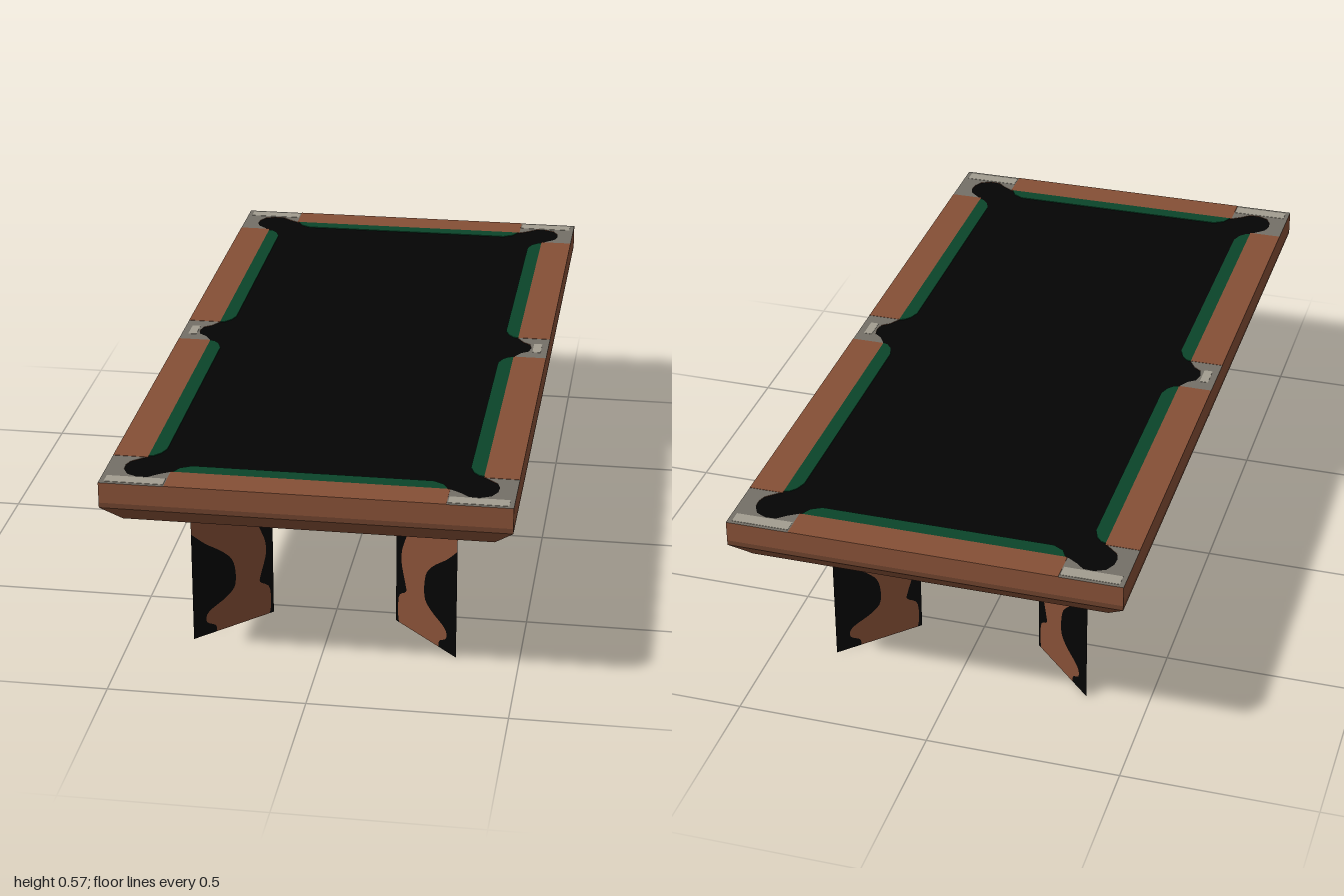
import * as THREE from 'three';

const paint = (name, color, side = THREE.FrontSide) => {
  const m = new THREE.MeshStandardMaterial({ color, side });
  m.name = name;
  return m;
};
const vec = (pts) => pts.map(([x, y]) => new THREE.Vector2(x, y));

export function createModel() {
  const wood = paint('wood brown', 0x854f36, THREE.DoubleSide);
  const darkWood = paint('dark wood', 0x6c412c);
  const black = paint('black', 0x040404, THREE.DoubleSide);
  const green = paint('cushion green', 0x0b452a);
  const metal = paint('metal grey', 0x747067);
  const lightMetal = paint('light metal', 0xa29d90);
  const under = paint('underside teal', 0x04282b);

  const table = new THREE.Group();
  table.name = 'poolTable';
  const add = (name, geometry, material) => {
    const mesh = new THREE.Mesh(geometry, material);
    mesh.name = name;
    table.add(mesh);
  };
  // Horizontal slab from an (x, z) outline, hanging down from its top height
  const slab = (name, shape, top, depth, material) => {
    const g = new THREE.ExtrudeGeometry(shape, { depth, bevelEnabled: false });
    g.rotateX(Math.PI / 2).translate(0, top, 0);
    add(name, g, material);
  };
  const rect = (x0, z0, x1, z1) => new THREE.Shape(vec([[x0, z0], [x1, z0], [x1, z1], [x0, z1]]));
  const signs = [-1, 1];

  // Body: straight apron carrying the bed, with a darker lip along its lower edge
  const apron = new THREE.BoxGeometry(1, 0.052, 2).translate(0, 0.539, 0);
  add('apron', apron, [wood, wood, black, wood, wood, wood]);
  const lip = new THREE.BoxGeometry(1, 0.013, 2).translate(0, 0.5065, 0);
  add('apronLip', lip, [darkWood, darkWood, darkWood, under, darkWood, darkWood]);

  // Tapered skirt, open underneath so the underside sits recessed
  const skirt = new THREE.BoxGeometry(1, 0.047, 2).translate(0, 0.4765, 0);
  const sp = skirt.attributes.position;
  for (let i = 0; i < sp.count; i++) {
    if (sp.getY(i) < 0.47) sp.setXYZ(i, sp.getX(i) * 0.906, sp.getY(i), sp.getZ(i) * 0.955);
  }
  skirt.setIndex([...skirt.index.array].filter((_, i) => i < 12 || i >= 24));
  skirt.clearGroups();
  skirt.computeVertexNormals();
  add('skirt', skirt, wood);

  // Rail frame with an opening that bulges into six pockets
  const quarter = [
    [0.455, 0], [0.45, 0.025], [0.43, 0.04], [0.413, 0.068], [0.413, 0.835], [0.43, 0.85],
    [0.45, 0.868], [0.457, 0.89], [0.455, 0.915], [0.442, 0.94], [0.415, 0.953],
    [0.388, 0.951], [0.368, 0.933], [0.34, 0.915],
  ];
  const flip = (pts, sx, sz) => pts.map(([x, z]) => [x * sx, z * sz]);
  const opening = [
    ...quarter, ...flip(quarter, -1, 1).reverse(),
    ...flip(quarter, -1, -1).slice(1), ...flip(quarter, 1, -1).reverse().slice(0, -1),
  ];
  const frame = rect(-0.5, -1, 0.5, 1);
  frame.holes.push(new THREE.Path(vec(opening)));
  slab('railFrame', frame, 0.5662, 0.0012, [metal, wood]);

  // Wooden rail tops, cushions and metal highlights
  const sideCushion = [[0.413, 0.068], [0.413, 0.832], [0.4, 0.828], [0.386, 0.812], [0.376, 0.785],
    [0.376, 0.115], [0.386, 0.088], [0.4, 0.072]];
  const endCushion = [[-0.335, 0.915], [-0.322, 0.89], [-0.295, 0.875],
    [0.295, 0.875], [0.322, 0.89], [0.335, 0.915]];
  for (const s of signs) {
    slab('endRail', rect(-0.34, 0.915 * s, 0.34, s), 0.567, 0.0008, wood);
    slab('endCushion', new THREE.Shape(vec(flip(endCushion, 1, s))), 0.567, 0.002, green);
    slab('sidePocketHighlight', rect(0.46 * s, -0.03, 0.482 * s, 0.03), 0.567, 0.0008, lightMetal);
    for (const t of signs) {
      slab('sideRail', rect(0.413 * s, 0.068 * t, 0.5 * s, 0.84 * t), 0.567, 0.0008, wood);
      slab('sideCushion', new THREE.Shape(vec(flip(sideCushion, s, t))), 0.567, 0.002, green);
      slab('cornerHighlight', rect(0.343 * s, 0.956 * t, 0.488 * s, 0.99 * t), 0.567, 0.0008, lightMetal);
    }
  }

  // Legs: flat diagonal panels, a turned profile in wood flanked by black
  const IN = 0.162, OUT = 0.339, TOP = 0.5;
  const curve = (pts) => new THREE.SplineCurve(vec(pts)).getPoints(36)
    .map((p) => [THREE.MathUtils.clamp(p.x, IN, OUT), Math.max(p.y, 0)]);
  const outer = curve([[OUT, 0.3], [0.31, 0.262], [0.27, 0.22], [0.249, 0.182], [0.246, 0.12],
    [0.265, 0.091], [0.305, 0.064], [0.31, 0.037], [0.291, 0.019], [0.289, 0]]);
  const inner = curve([[IN, 0.377], [0.182, 0.372], [0.203, 0.342], [0.206, 0.307], [0.19, 0.254],
    [0.179, 0.214], [0.178, 0.174], [0.19, 0.12], [0.191, 0.1], [0.171, 0.078], [0.168, 0.027], [0.171, 0]]);
  const shoulder = [[0.291, TOP], [0.291, 0.42], [0.299, 0.405], [0.325, 0.385], [OUT, 0.37]];
  const pieces = [
    ['legProfile', [[IN, TOP], ...shoulder, ...outer, ...[...inner].reverse()], wood],
    ['legShoulderGap', [...shoulder, [OUT, TOP]], black],
    ['legOuterGap', [...outer, [OUT, 0]], black],
    ['legInnerGap', [...inner, [IN, 0]], black],
  ];
  for (const sx of signs) {
    for (const sz of signs) {
      for (const [name, pts, material] of pieces) {
        const g = new THREE.ShapeGeometry(new THREE.Shape(vec(pts)));
        const p = g.attributes.position;
        for (let i = 0; i < p.count; i++) {
          const u = p.getX(i);
          p.setXYZ(i, u * sx, p.getY(i), (u + 0.377) * sz);
        }
        g.computeVertexNormals();
        add(name, g, material);
      }
    }
  }
  return table;
}
